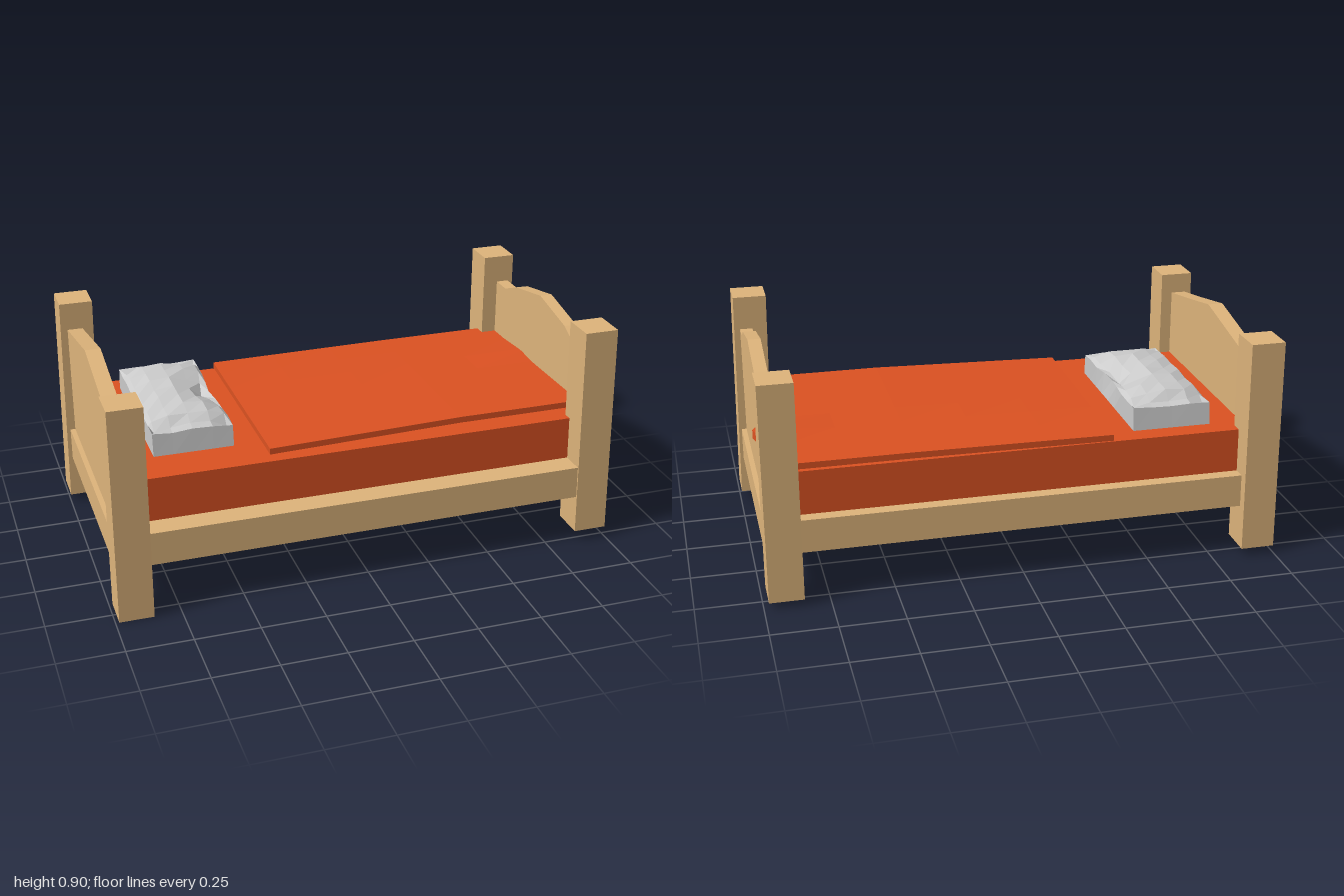
import * as THREE from 'three';

const material = (color) => new THREE.MeshStandardMaterial({ color, flatShading: true });

export function createModel() {
  const group = new THREE.Group();
  const wood = material(0xdfb57c);
  const orange = material(0xdd5222);
  const grey = material(0xcccccc);

  const add = (name, geometry, mat) => {
    const mesh = new THREE.Mesh(geometry, mat);
    mesh.name = name;
    group.add(mesh);
    return mesh;
  };

  // Box given by its two extreme corners
  const block = (x0, x1, y0, y1, z0, z1, ...segments) =>
    new THREE.BoxGeometry(x1 - x0, y1 - y0, z1 - z0, ...segments)
      .translate((x0 + x1) / 2, (y0 + y1) / 2, (z0 + z1) / 2);

  // Move every vertex by a rule
  const reshape = (geometry, rule) => {
    const p = geometry.attributes.position;
    const v = new THREE.Vector3();
    for (let i = 0; i < p.count; i++) {
      rule(v.fromBufferAttribute(p, i));
      p.setXYZ(i, v.x, v.y, v.z);
    }
    geometry.computeVertexNormals();
    return geometry;
  };

  // Corner posts, slightly crooked: top centre, foot centre, height range
  const posts = [
    ['headPostFront', -0.92, 0.5, -0.92, 0.49, 0, 0.855],
    ['headPostBack', -0.92, -0.505, -0.933, -0.5, 0.03, 0.88],
    ['footPostFront', 0.915, 0.463, 0.93, 0.463, 0.047, 0.9],
    ['footPostBack', 0.915, -0.5, 0.915, -0.497, 0.025, 0.88],
  ];
  for (const [name, tx, tz, bx, bz, y0, y1] of posts) {
    const geometry = block(-0.066, 0.066, y0, y1, -0.068, 0.068);
    add(name, reshape(geometry, (v) => {
      const t = (v.y - y0) / (y1 - y0);
      v.x += THREE.MathUtils.lerp(bx, tx, t);
      v.z += THREE.MathUtils.lerp(bz, tz, t);
    }), wood);
  }

  // Solid base and mattress
  add('bedBase', block(-0.98, 0.98, 0.2, 0.33, -0.53, 0.525), wood);
  add('mattress', block(-0.91, 0.92, 0.32, 0.503, -0.48, 0.43), orange);

  // End boards with a peaked top, outlined in (z, y)
  const endBoard = (name, x0, x1, top) => {
    const shape = new THREE.Shape();
    shape.moveTo(0.45, 0.32);
    for (const [z, y] of top) shape.lineTo(z, y);
    shape.lineTo(-0.46, 0.32);
    const geometry = new THREE.ExtrudeGeometry(shape, { depth: x1 - x0, bevelEnabled: false });
    geometry.rotateY(-Math.PI / 2).translate(x1, 0, 0);
    add(name, geometry, wood);
  };
  endBoard('headboard', -0.96, -0.9,
    [[0.45, 0.77], [0.23, 0.81], [0, 0.855], [-0.23, 0.81], [-0.46, 0.765]]);
  endBoard('footboard', 0.91, 0.96,
    [[0.45, 0.766], [0.32, 0.766], [0.23, 0.81], [0, 0.855], [-0.23, 0.81], [-0.34, 0.766], [-0.46, 0.766]]);

  // Blanket: thin sheet rising to a ridge, one tuck poking through the footboard
  const blanket = block(-0.355, 0.92, 0, 1, -0.48, 0.39, 5, 1, 6);
  add('blanket', reshape(blanket, (v) => {
    const side = (v.z + 0.48) / 0.87;
    const rise = THREE.MathUtils.clamp((v.x + 0.355) / 0.765, 0, 1);
    const top = 0.53 + 0.005 * side + rise * (0.006 + 0.014 * side);
    const tuck = v.x > 0.9 && Math.abs(v.z + 0.19) < 0.03;
    v.y = v.y > 0.5 ? top + (tuck ? 0.012 : 0) : top - 0.024;
    if (tuck) {
      v.x = 0.975;
      v.z += 0.02;
    }
  }), orange);

  // Pillow: faceted cushion with rounded rim, crumpled top and dented inner side
  const pillow = block(-0.77, -0.46, 0.5, 0.63, -0.4, 0.26, 4, 2, 8);
  add('pillow', reshape(pillow, (v) => {
    const u = (v.x + 0.615) / 0.155;
    const w = (v.z + 0.07) / 0.33;
    const level = (v.y - 0.5) / 0.13;
    const wave = Math.sin(v.x * 37 + v.z * 23) * Math.cos(v.z * 19 - v.x * 11);
    const dent = Math.max(0, u) * Math.max(0, 1 - Math.abs(v.z + 0.07) / 0.18);
    if (level > 0.9) {
      v.y += 0.008 * wave - 0.035 * dent - 0.022 * Math.abs(u) ** 6 - 0.035 * Math.abs(w) ** 6;
      v.z -= 0.05 * Math.sign(w) * Math.abs(w) ** 8;
      v.x -= 0.015 * u ** 5;
    } else if (level > 0.4) {
      v.y += 0.025 + 0.006 * wave;
      v.z -= 0.01 * w ** 5;
    }
    v.x -= 0.03 * dent * level;
  }), grey);

  return group;
}
